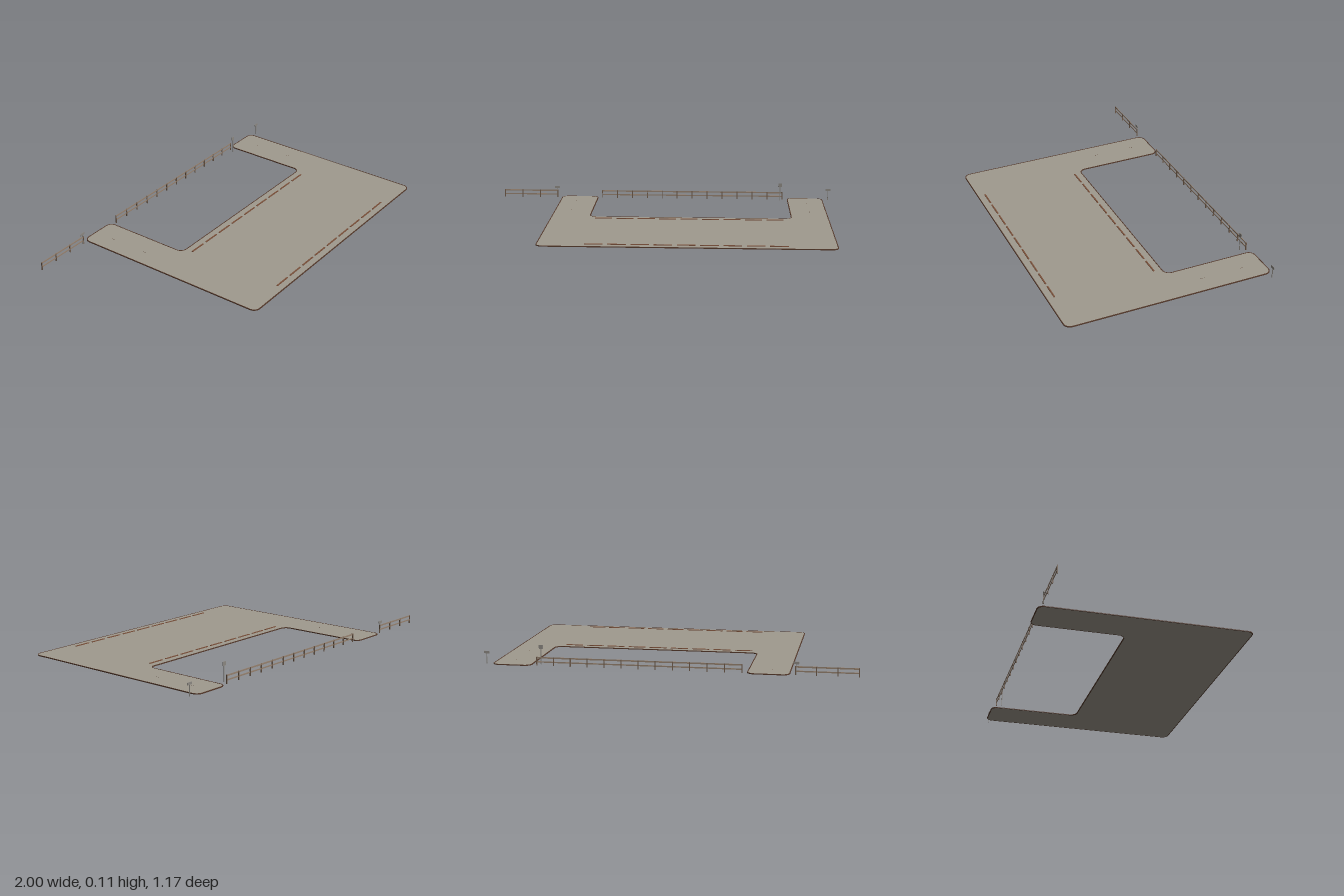
import * as THREE from 'three';

const mat = (name, color) => new THREE.MeshStandardMaterial({ name, color });

export function createModel() {
  const asphalt = mat('asphalt', 0xa09a8e);
  const curbBrown = mat('dark curb', 0x553a2c);
  const stopBrown = mat('stop brown', 0x7a503a);
  const fenceBrown = mat('fence brown', 0x6e5a4a);
  const railBrown = mat('rail brown', 0x94806e);
  const signGrey = mat('sign grey', 0x8a8680);

  const model = new THREE.Group();
  model.name = 'parkingLot';

  const group = (name) => {
    const g = new THREE.Group();
    g.name = name;
    model.add(g);
    return g;
  };
  const box = (parent, name, material, w, h, d, x, y, z) => {
    const m = new THREE.Mesh(new THREE.BoxGeometry(w, h, d), material);
    m.name = name;
    m.position.set(x, y, z);
    parent.add(m);
  };

  // U-shaped outline in (x, z) with rounded corners, shrunk by an inset
  const trace = (path, d) => {
    const x0 = -0.643 + d, x1 = 0.948 - d, z0 = -0.589 + d, z1 = 0.586 - d;
    const a = -0.42 - d, b = 0.734 + d, c = -0.069 + d;
    const pts = [[x0, z0], [a, z0], [a, c], [b, c], [b, z0], [x1, z0], [x1, z1], [x0, z1]]
      .map(([x, z]) => new THREE.Vector2(x, z));
    pts.forEach((p, i) => {
      const prev = pts[(i + 7) % 8], next = pts[(i + 1) % 8];
      const r = i === 2 || i === 3 ? 0.035 + d : 0.038 - d;
      const s = prev.clone().sub(p).setLength(r).add(p);
      const e = next.clone().sub(p).setLength(r).add(p);
      const c1 = s.clone().lerp(p, 0.55), c2 = e.clone().lerp(p, 0.55);
      if (i === 0) path.moveTo(s.x, s.y);
      else path.lineTo(s.x, s.y);
      path.bezierCurveTo(c1.x, c1.y, c2.x, c2.y, e.x, e.y);
    });
    path.closePath();
    return path;
  };
  const slab = (name, shape, height, material) => {
    const geo = new THREE.ExtrudeGeometry(shape, { depth: height, bevelEnabled: false, curveSegments: 6 });
    geo.rotateX(Math.PI / 2).translate(0, height, 0);
    const m = new THREE.Mesh(geo, material);
    m.name = name;
    model.add(m);
  };

  // Paved surface and its thin curb
  const rim = 0.005;
  slab('pavement', trace(new THREE.Shape(), rim), 0.004, asphalt);
  const curb = trace(new THREE.Shape(), 0);
  curb.holes.push(trace(new THREE.Path(), rim));
  slab('curb', curb, 0.005, curbBrown);

  // Two rows of wheel stops
  const stops = group('wheelStops');
  for (const z of [-0.023, 0.541]) {
    for (let i = 0; i < 9; i++) {
      box(stops, 'wheelStop', stopBrown, 0.098, 0.004, 0.008, -0.338 + i * 0.1222, 0.0057, z);
    }
  }

  // Small lane marks on the two driveways
  const marks = group('laneMarks');
  for (const x of [-0.545, 0.848]) {
    for (const z of [-0.46, -0.23]) {
      box(marks, 'laneMark', curbBrown, 0.001, 0.0006, 0.025, x, 0.0042, z);
    }
  }

  // Post and rail fences along the back
  const fenceZ = -0.567;
  const fence = (name, x0, x1, spans) => {
    const g = group(name);
    for (let i = 0; i <= spans; i++) {
      box(g, 'fencePost', fenceBrown, 0.005, 0.047, 0.006, x0 + ((x1 - x0) * i) / spans, 0.0235, fenceZ);
    }
    const w = x1 - x0, mid = (x0 + x1) / 2;
    box(g, 'topRail', railBrown, w, 0.008, 0.003, mid, 0.043, fenceZ);
    box(g, 'lowerRail', railBrown, w, 0.007, 0.003, mid, 0.02, fenceZ);
  };
  fence('sideFence', -0.9975, -0.671, 3);
  fence('backFence', -0.395, 0.705, 12);

  // Signs on posts
  const sign = (name, x, z, top, w, h) => {
    const g = group(name);
    box(g, 'signPost', signGrey, 0.004, top - h, 0.003, x, (top - h) / 2, z);
    box(g, 'signPanel', signGrey, w, h, 0.003, x, top - h / 2, z);
  };
  sign('entranceSign', -0.675, fenceZ, 0.07, 0.03, 0.013);
  sign('exitSign', 0.982, fenceZ, 0.07, 0.03, 0.013);
  sign('tallSign', 0.69, -0.537, 0.106, 0.022, 0.021);

  return model;
}
